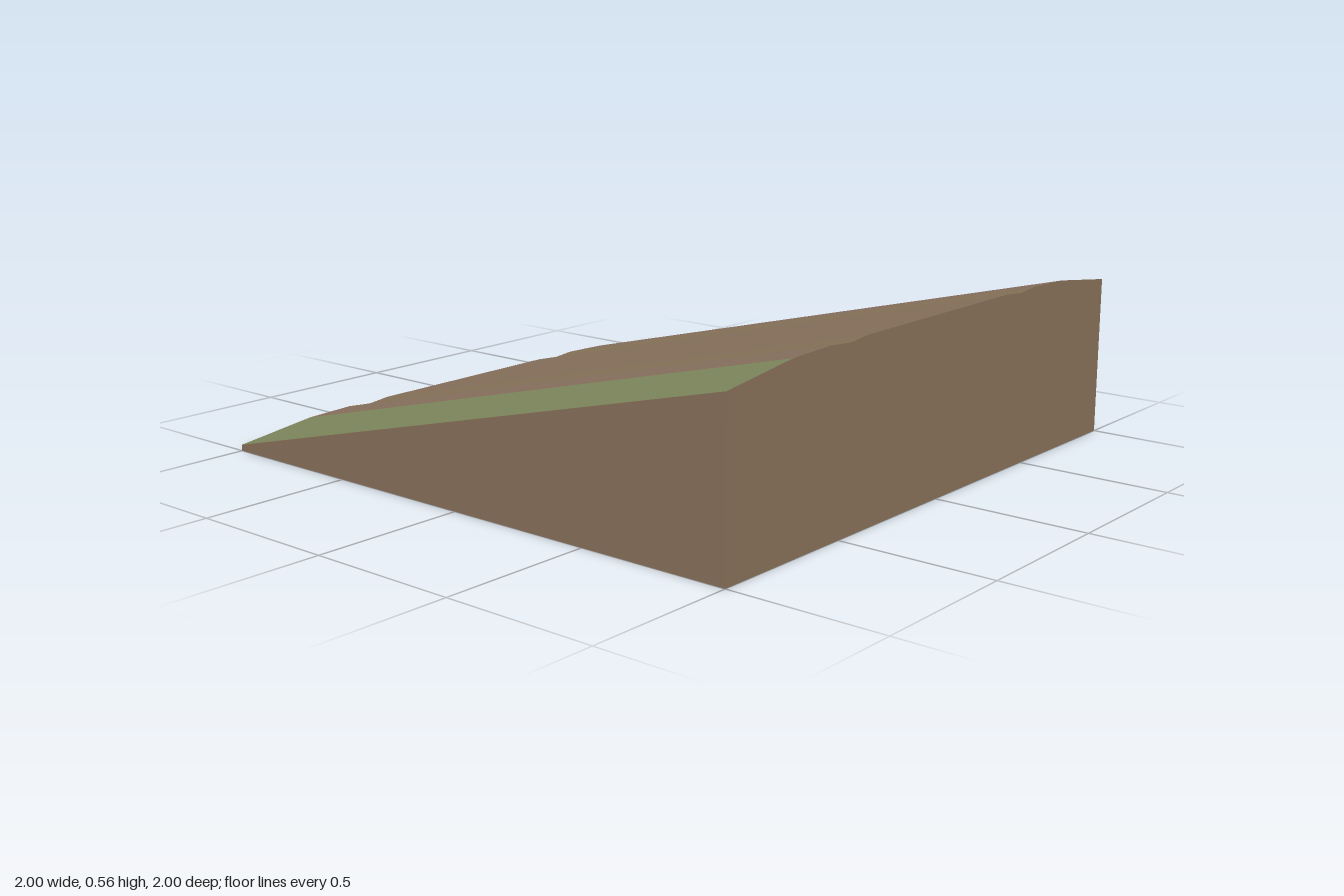
import * as THREE from 'three';

const RISE = 0.5; // height gained from the low end (-x) to the high end (+x)

// Half cross-section from the centre outwards: [z, height at the low end]
const HALF = [[0.38, 0.06], [0.46, 0.052], [0.55, 0.06], [0.72, 0.055], [1, 0.02]];
const PROFILE = [...HALF.map(([z, y]) => [-z, y]).reverse(), ...HALF];

// Flat-shaded geometry from four-cornered faces
function quads(faces) {
  const points = faces.flatMap(([a, b, c, d]) => [a, b, c, a, c, d]).flat();
  const geometry = new THREE.BufferGeometry();
  geometry.setAttribute('position', new THREE.Float32BufferAttribute(points, 3));
  geometry.computeVertexNormals();
  return geometry;
}

function material(name, color) {
  const m = new THREE.MeshStandardMaterial({ color });
  m.name = name;
  return m;
}

export function createModel() {
  const group = new THREE.Group();
  group.name = 'dirtRoadRamp';

  const soil = material('soil brown', 0x8a735c);
  const road = material('road brown', 0x88725c);
  const rut = material('rut brown', 0x87735a);
  const shoulder = material('shoulder brown', 0x8a725f);
  const grass = material('grass green', 0x7f885c);

  const add = (name, faces, mat) => {
    const mesh = new THREE.Mesh(quads(faces), mat);
    mesh.name = name;
    group.add(mesh);
  };

  // Sloping surface, one band for each step of the cross-section
  const bands = [
    ['grassVerge', grass], ['roadShoulder', shoulder], ['rutOuter', rut], ['rutInner', rut],
    ['roadCentre', road],
    ['rutInner', rut], ['rutOuter', rut], ['roadShoulder', shoulder], ['grassVerge', grass],
  ];
  const ends = [];
  bands.forEach(([name, mat], i) => {
    const [z0, y0] = PROFILE[i];
    const [z1, y1] = PROFILE[i + 1];
    const h0 = y0 + RISE;
    const h1 = y1 + RISE;
    const side = i < 4 ? 'Back' : i > 4 ? 'Front' : '';
    add(name + side, [[[-1, y0, z0], [-1, y1, z1], [1, h1, z1], [1, h0, z0]]], mat);
    // Matching slices of the high and low end walls
    ends.push(
      [[1, 0, z0], [1, h0, z0], [1, h1, z1], [1, 0, z1]],
      [[-1, 0, z1], [-1, y1, z1], [-1, y0, z0], [-1, 0, z0]],
    );
  });
  add('endWalls', ends, soil);

  // Wedge-shaped side walls and flat base
  const low = HALF[HALF.length - 1][1];
  const high = low + RISE;
  add('sideWalls', [
    [[-1, 0, 1], [1, 0, 1], [1, high, 1], [-1, low, 1]],
    [[1, 0, -1], [-1, 0, -1], [-1, low, -1], [1, high, -1]],
  ], soil);
  add('base', [[[1, 0, -1], [1, 0, 1], [-1, 0, 1], [-1, 0, -1]]], soil);

  return group;
}
